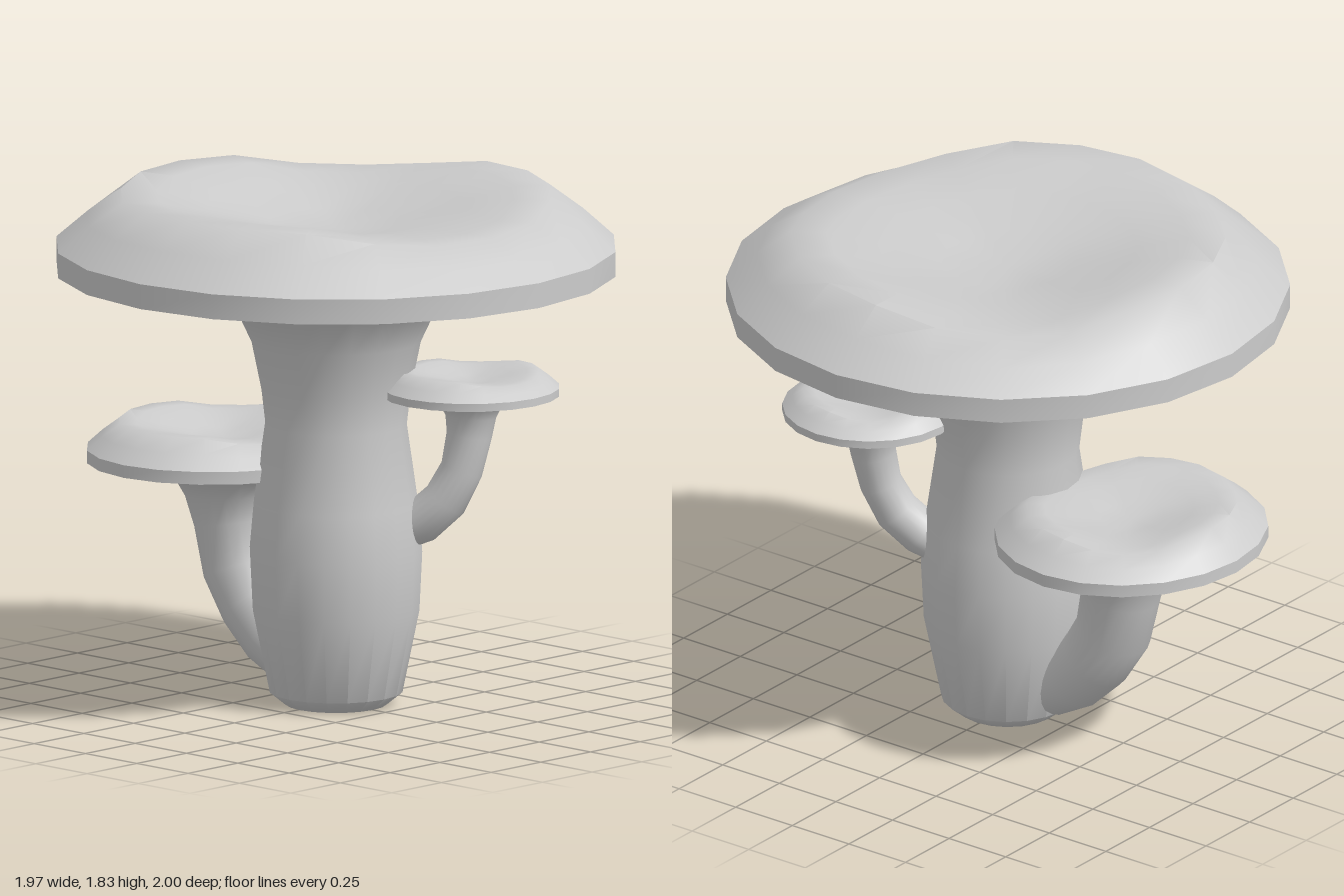
import * as THREE from 'three';
import { toCreasedNormals } from 'three/addons/utils/BufferGeometryUtils.js';

const SIDES = 20;
const material = new THREE.MeshStandardMaterial({ color: 0xcccccc });

function mesh(name, geometry) {
  const m = new THREE.Mesh(geometry, material);
  m.name = name;
  return m;
}

// Closed skin over rings of points; point(j, i) gives corner i of ring j
function skin(rows, point) {
  const pos = [], index = [];
  for (let j = 0; j < rows; j++)
    for (let i = 0; i < SIDES; i++) pos.push(...point(j, i).toArray());
  for (let j = 0; j < rows - 1; j++) {
    for (let i = 0; i < SIDES; i++) {
      const k = (i + 1) % SIDES;
      const a = j * SIDES + i, b = j * SIDES + k, c = b + SIDES, d = a + SIDES;
      if (j > 0) index.push(a, b, c);
      else index.push(a, c, d);
      if (j > 0 && j < rows - 2) index.push(a, c, d);
    }
  }
  const g = new THREE.BufferGeometry();
  g.setAttribute('position', new THREE.Float32BufferAttribute(pos, 3));
  g.setIndex(index);
  return toCreasedNormals(g, 0.7);
}

// Wavy crest of the cap, one height per side, from the front round by the left
const crest = [
  0.223, 0.235, 0.274, 0.28, 0.284, 0.279, 0.244, 0.223, 0.23, 0.274,
  0.284, 0.284, 0.27, 0.264, 0.274, 0.284, 0.284, 0.28, 0.244, 0.223,
];

// Cap of radius 1 with a flat underside at y = 0 and a dished top
function capGeometry() {
  const rings = [
    [0, () => 0],
    [1, () => 0],
    [1, () => 0.09],
    [0.89, (h) => 0.05 + h * 0.5],
    [0.77, (h) => h],
    [0.64, (h) => h - 0.004],
    [0.46, (h) => 0.12 + h * 0.4],
    [0.24, (h) => 0.13 + h * 0.17],
    [0, () => 0.145],
  ];
  return skin(rings.length, (j, i) => {
    const a = (i / SIDES) * Math.PI * 2, [r, y] = rings[j];
    return new THREE.Vector3(r * Math.sin(a), y(crest[i]), r * Math.cos(a));
  });
}

function cap(name, x, y, z, rx, ry, rz) {
  const m = mesh(name, capGeometry());
  m.position.set(x, y, z);
  m.scale.set(rx, ry, rz);
  return m;
}

// Stem through points [x, y, z, radius], its rings square to the path
function stem(name, path) {
  const rings = [[...path[0].slice(0, 3), 0], ...path, [...path.at(-1).slice(0, 3), 0]];
  const centre = path.map((p) => new THREE.Vector3(p[0], p[1], p[2]));
  return mesh(name, skin(rings.length, (j, i) => {
    const n = THREE.MathUtils.clamp(j - 1, 0, path.length - 1);
    const t = centre[Math.min(n + 1, path.length - 1)].clone()
      .sub(centre[Math.max(n - 1, 0)]).normalize();
    if (n >= path.length - 2) t.set(0, 1, 0);
    const u = new THREE.Vector3(1, 0, 0).addScaledVector(t, -t.x).normalize();
    const v = u.clone().cross(t);
    const a = (i / SIDES) * Math.PI * 2, r = rings[j][3];
    return centre[n].clone()
      .addScaledVector(u, r * Math.sin(a))
      .addScaledVector(v, r * Math.cos(a));
  }));
}

// Thin ribs radiating from the stem under the main cap
function gills() {
  const group = new THREE.Group();
  group.name = 'gills';
  const outline = [[0.33, 1.45], [0.4, 1.455], [0.61, 1.538], [0.88, 1.541], [0.88, 1.57], [0.33, 1.57]];
  const shape = new THREE.Shape(outline.map(([r, y]) => new THREE.Vector2(r, y)));
  const g = new THREE.ExtrudeGeometry(shape, { depth: 0.018, bevelEnabled: false });
  g.translate(0, 0, -0.009);
  const count = 32;
  for (let i = 0; i < count; i++) {
    const gill = mesh('gill', g);
    gill.rotation.y = ((i + 0.5) / count) * Math.PI * 2;
    group.add(gill);
  }
  group.position.z = 0.01;
  return group;
}

export function createModel() {
  const model = new THREE.Group();
  model.name = 'mushroomCluster';

  // Main mushroom
  const profile = [
    [0, 0.18], [0.045, 0.235], [0.34, 0.295], [0.55, 0.305], [0.72, 0.29], [1.0, 0.25],
    [1.13, 0.265], [1.3, 0.3], [1.45, 0.37], [1.5, 0.46], [1.56, 0.59],
  ];
  model.add(stem('mainStem', profile.map(([y, r]) => [0, y, 0.01, r])));
  model.add(cap('mainCap', 0, 1.55, 0.01, 0.985, 0.985, 0.99));
  model.add(gills());

  // Middle mushroom, growing from the back of the main stem
  model.add(stem('backStem', [
    [0, 0.12, -0.18, 0.1], [0, 0.2, -0.28, 0.125], [0, 0.3, -0.38, 0.13], [0, 0.42, -0.455, 0.135],
    [0, 0.58, -0.49, 0.14], [0, 0.68, -0.5, 0.165], [0, 0.745, -0.5, 0.205], [0, 0.805, -0.51, 0.3],
  ]));
  model.add(cap('backCap', 0, 0.8, -0.535, 0.505, 0.5, 0.465));

  // Small mushroom, growing from the front left of the main stem
  model.add(stem('frontStem', [
    [0.14, 0.62, 0.19, 0.07], [0.17, 0.66, 0.26, 0.08], [0.215, 0.74, 0.335, 0.08],
    [0.25, 0.85, 0.38, 0.075], [0.272, 0.97, 0.395, 0.08], [0.278, 1.04, 0.397, 0.09],
    [0.278, 1.09, 0.4, 0.115], [0.275, 1.125, 0.405, 0.18],
  ]));
  model.add(cap('frontCap', 0.265, 1.12, 0.41, 0.315, 0.31, 0.31));

  return model;
}
